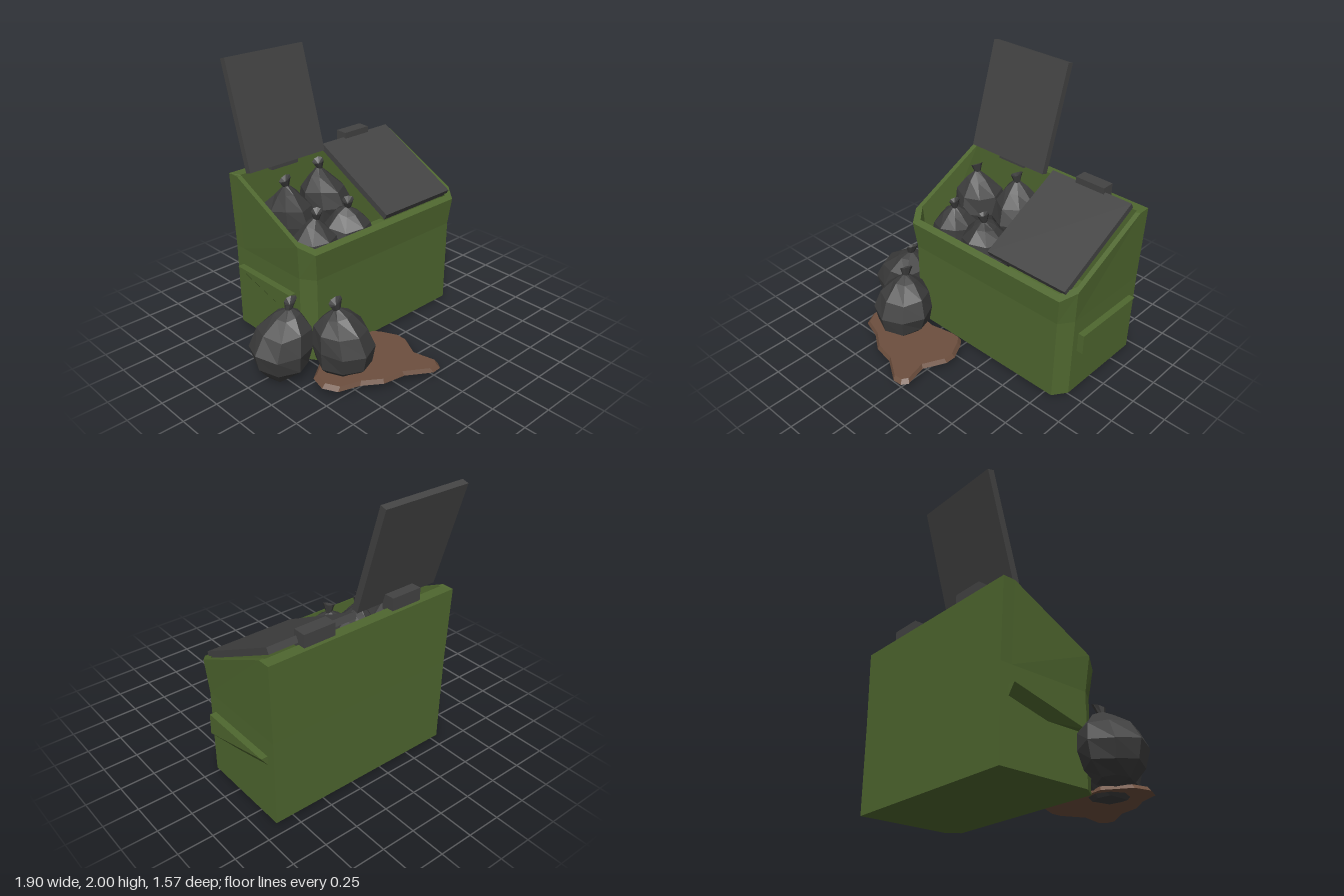
import * as THREE from 'three';
import { ConvexGeometry } from 'three/addons/geometries/ConvexGeometry.js';

const material = (name, color) => {
  const m = new THREE.MeshStandardMaterial({ color });
  m.name = name;
  return m;
};

// Give every facet its own normal
function facet(geometry) {
  const g = geometry.index ? geometry.toNonIndexed() : geometry;
  g.computeVertexNormals();
  return g;
}

// Horizontal outline of the container with two cut front corners
function outline(xl, xr, zb, zs, zf, cx, cz, height) {
  const half = [[xl, zb], [xl, zs], [xl, zf - cz], [xl + cx, zf]];
  const other = [[xr - cx, zf], [xr, zf - cz], [xr, zs], [xr, zb]];
  return [...half, ...other].map(([x, z]) => [x, height(z), z]);
}

// Skin a stack of outlines and cap both ends
function loft(rings) {
  const n = rings[0].length;
  const index = [];
  for (let r = 0; r < rings.length - 1; r++) {
    for (let i = 0; i < n; i++) {
      const a = r * n + i, b = r * n + (i + 1) % n;
      index.push(a, b, b + n, a, b + n, a + n);
    }
  }
  const last = (rings.length - 1) * n;
  for (let i = 1; i < n - 1; i++) {
    index.push(0, i + 1, i, last, last + i, last + i + 1);
  }
  const g = new THREE.BufferGeometry();
  g.setAttribute('position', new THREE.Float32BufferAttribute(rings.flat(2), 3));
  g.setIndex(index);
  return facet(g);
}

// Tied sack: eight-sided, slightly crumpled, neck leaning to one side
function bagGeometry(seed, leanX, leanZ) {
  const profile = [[0, 0], [0.11, 0.015], [0.19, 0.1], [0.215, 0.22], [0.18, 0.34],
    [0.09, 0.43], [0.025, 0.475], [0.045, 0.53], [0, 0.5]];
  const g = new THREE.LatheGeometry(profile.map(([x, y]) => new THREE.Vector2(x, y)), 8);
  const p = g.attributes.position;
  for (let i = 0; i < p.count; i++) {
    const x = p.getX(i), y = p.getY(i), z = p.getZ(i);
    const k = 1 + 0.06 * Math.sin(x * 23 + seed * 2.1) * Math.cos(z * 19 + y * 13 + seed);
    const lean = Math.max(0, (y - 0.22) / 0.3);
    const fold = y > 0.5 ? 0.4 * x : 0;
    p.setXYZ(i, x * k + leanX * lean, y + fold + 0.012 * Math.sin(x * 17 + z * 21 + seed), z * k + leanZ * lean);
  }
  return facet(g);
}

export function createModel() {
  const green = material('green metal', 0x4f672f);
  const lidGrey = material('lid grey', 0x434343);
  const bagGrey = material('bag grey', 0x3c3c3c);
  const brown = material('spill brown', 0x6d4f3e);

  const model = new THREE.Group();
  model.name = 'wasteContainer';
  const add = (name, geometry, mat, x = 0, y = 0, z = 0) => {
    const mesh = new THREE.Mesh(geometry, mat);
    mesh.name = name;
    mesh.position.set(x, y, z);
    model.add(mesh);
    return mesh;
  };

  // Container: flared upper walls, sloping rim and hollow inside
  const rim = z => Math.min(1.21, 0.85 + (0.13 - z) * 0.493);
  add('container', loft([
    outline(-0.54, 0.89, -0.68, -0.6, 0.11, 0.07, 0.1, () => 0.02),
    outline(-0.545, 0.9, -0.685, -0.6, 0.11, 0.07, 0.1, () => 0.65),
    outline(-0.57, 0.92, -0.69, -0.6, 0.13, 0.07, 0.1, rim),
    outline(-0.535, 0.885, -0.61, -0.59, 0.085, 0.07, 0.09, rim),
    outline(-0.47, 0.82, -0.6, -0.56, 0.06, 0.04, 0.06, () => 0.45),
  ]), green);

  // Wedge-shaped lifting pockets on both sides
  const pocket = [[0.945, 0.52, -0.04], [0.945, 0.52, -0.62], [0.945, 0.37, -0.04],
    [0.88, 0.52, -0.04], [0.88, 0.52, -0.62], [0.88, 0.43, -0.62],
    [0.88, 0.37, -0.38], [0.88, 0.37, -0.04]];
  for (const [name, mirror] of [['leftPocket', false], ['rightPocket', true]]) {
    const points = pocket.map(([x, y, z]) => new THREE.Vector3(mirror ? 0.35 - x : x, y, z));
    add(name, new ConvexGeometry(points), green);
  }

  // Lids and their hinges
  const closed = add('closedLid', new THREE.BoxGeometry(0.66, 0.045, 0.76), lidGrey, 0.525, 1.065, -0.26);
  closed.rotation.x = 0.488;
  const open = add('openLid', new THREE.BoxGeometry(0.67, 0.79, 0.05), lidGrey, -0.18, 1.613, -0.653);
  open.rotation.x = -0.285;
  for (const x of [0.525, -0.175]) {
    add('hinge', new THREE.BoxGeometry(0.235, 0.11, 0.095), lidGrey, x, 1.245, -0.615);
  }

  // Bags: name, position, width scale, lean
  const bags = [
    ['insideBag', -0.3, 0.66, -0.37, 0.9, -0.04, 0],
    ['insideBag', 0.05, 0.69, -0.4, 0.9, -0.05, -0.02],
    ['insideBag', -0.31, 0.5, -0.12, 0.85, 0.02, 0.03],
    ['insideBag', 0.0, 0.51, -0.12, 0.92, -0.01, 0.03],
    ['outsideBag', -0.74, 0.01, 0.035, 1, 0.1, -0.01],
    ['outsideBag', -0.43, 0.02, 0.32, 1, -0.02, -0.06],
  ];
  bags.forEach(([name, x, y, z, w, lx, lz], i) => {
    add(name, bagGeometry(i + 1, lx, lz), bagGrey, x, y, z).scale.set(w, 1, w);
  });

  // Spilled puddle with a slanted edge
  const edge = [[-0.7, 0.4], [-0.65, 0.5], [-0.5, 0.55], [-0.37, 0.64], [-0.21, 0.67],
    [-0.04, 0.78], [0.03, 0.775], [0.06, 0.73], [0.02, 0.56], [0.1, 0.4], [0.1, 0.32],
    [0.04, 0.2], [0, 0.15], [-0.07, 0.15], [-0.25, 0.19], [-0.5, 0.16], [-0.67, 0.28]];
  const shape = new THREE.Shape(edge.map(([x, z]) => new THREE.Vector2(x, -z)));
  const spill = new THREE.ExtrudeGeometry(shape, { depth: 0.03, bevelEnabled: false });
  spill.rotateX(-Math.PI / 2);
  const p = spill.attributes.position;
  for (let i = 0; i < p.count; i++) {
    if (p.getY(i) > 0.015) {
      p.setX(i, -0.25 + (p.getX(i) + 0.25) * 0.94);
      p.setZ(i, 0.42 + (p.getZ(i) - 0.42) * 0.94);
    }
  }
  add('puddle', facet(spill), brown, 0, 0.055, 0);

  return model;
}
